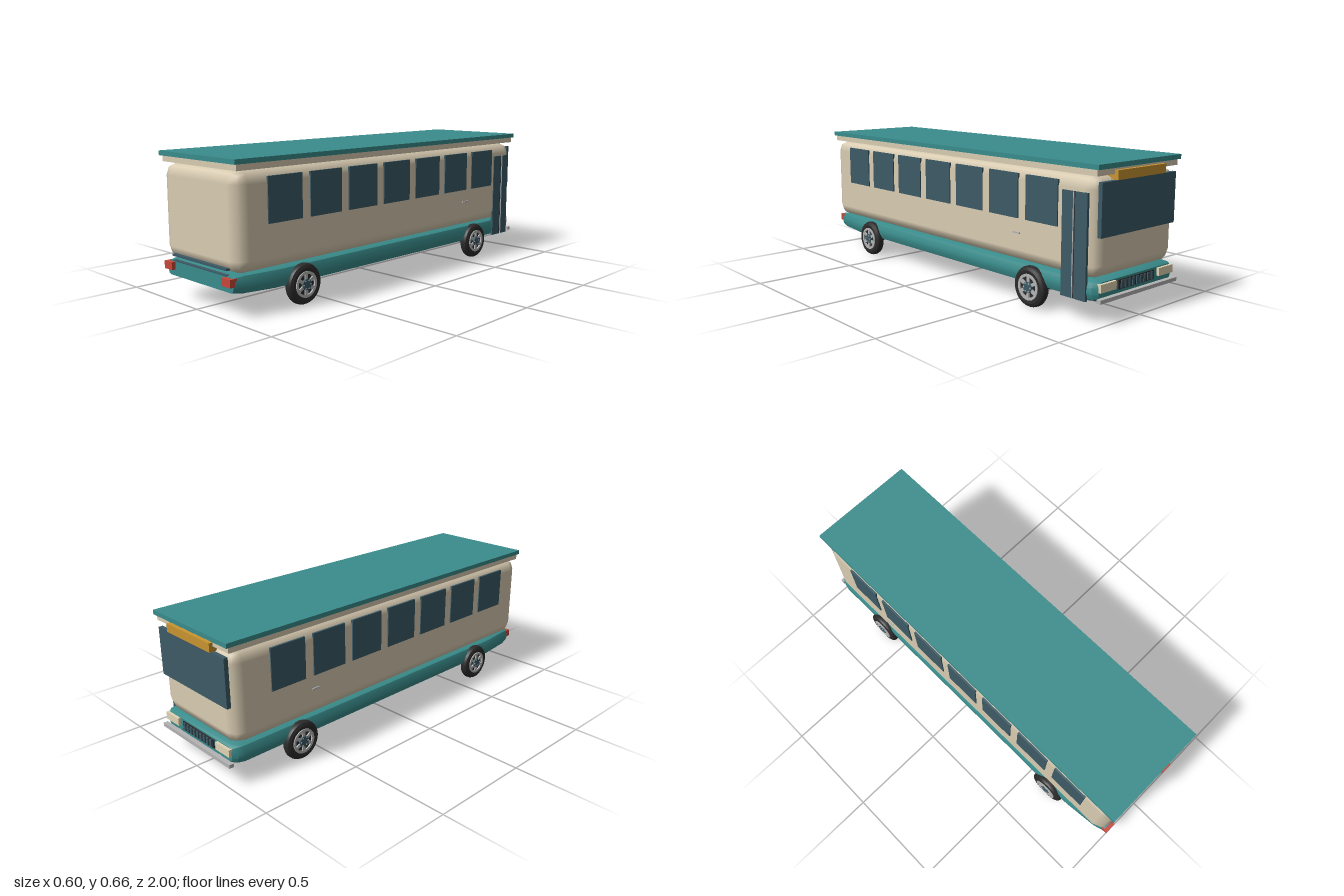
import * as THREE from 'three';
import { toCreasedNormals } from 'three/addons/utils/BufferGeometryUtils.js';
import { RoundedBoxGeometry } from 'three/addons/geometries/RoundedBoxGeometry.js';

const mat = (color) => new THREE.MeshStandardMaterial({ color });
const teal = mat(0x3a8c8c), cream = mat(0xd9ccb2), glass = mat(0x3c5a66), tyreBlack = mat(0x2b2b2b);
const steel = mat(0xb4b4b4), red = mat(0xc8473a), amber = mat(0xc8942f), ivory = mat(0xe0d4b4);

function add(parent, name, geometry, material, x = 0, y = 0, z = 0) {
  const mesh = new THREE.Mesh(geometry, material);
  mesh.name = name;
  mesh.position.set(x, y, z);
  parent.add(mesh);
  return mesh;
}

// Box given by its minimum and maximum on each axis
function box(parent, name, material, x0, x1, y0, y1, z0, z1) {
  return add(parent, name, new THREE.BoxGeometry(x1 - x0, y1 - y0, z1 - z0), material,
    (x0 + x1) / 2, (y0 + y1) / 2, (z0 + z1) / 2);
}

// Lower hull: chamfered cross-sections joined along z, tapering at the tail
function hullGeometry() {
  const sections = [ // z, half width, bottom, top, chamfer
    [-0.975, 0.245, 0.112, 0.18, 0.02],
    [-0.955, 0.264, 0.1, 0.188, 0.03],
    [-0.92, 0.272, 0.095, 0.19, 0.035],
    [0.76, 0.272, 0.095, 0.19, 0.035],
    [0.93, 0.255, 0.102, 0.19, 0.03],
    [0.98, 0.24, 0.112, 0.18, 0.02],
  ];
  const positions = [], index = [], n = 12;
  for (const [z, w, b, t, c] of sections) {
    const k = c * 0.29;
    const right = [[w - c, b], [w - k, b + k], [w, b + c], [w, t - c], [w - k, t - k], [w - c, t]];
    const ring = [...right, ...right.map(([x, y]) => [-x, y]).reverse()];
    ring.forEach(([x, y]) => positions.push(x, y, z));
  }
  for (let s = 0; s < sections.length - 1; s++) {
    for (let i = 0; i < n; i++) {
      const a = s * n + i, b = s * n + (i + 1) % n;
      index.push(a, b, b + n, a, b + n, a + n);
    }
  }
  const last = (sections.length - 1) * n;
  for (let i = 1; i < n - 1; i++) {
    index.push(0, i + 1, i, last, last + i, last + i + 1);
  }
  const g = new THREE.BufferGeometry();
  g.setAttribute('position', new THREE.Float32BufferAttribute(positions, 3));
  g.setIndex(index);
  return toCreasedNormals(g, 0.6);
}

// Wheel with its axle along y, outer face towards +y
function createWheel() {
  const wheel = new THREE.Group();
  const pts = (list) => list.map(([r, y]) => new THREE.Vector2(r, y));
  const tyre = new THREE.LatheGeometry(pts([[0.058, -0.02], [0.074, -0.023], [0.087, -0.017], [0.092, -0.007],
    [0.092, 0.007], [0.087, 0.017], [0.074, 0.023], [0.058, 0.02], [0.058, -0.02]]), 28);
  add(wheel, 'tyre', toCreasedNormals(tyre, 0.6), tyreBlack);
  const rim = new THREE.LatheGeometry(pts([[0.047, -0.025], [0.059, -0.025], [0.059, 0.025],
    [0.047, 0.025], [0.047, -0.025]]), 28);
  add(wheel, 'rim', toCreasedNormals(rim, 0.6), steel);
  add(wheel, 'wheelDisc', new THREE.CylinderGeometry(0.05, 0.05, 0.034, 28), tyreBlack);
  add(wheel, 'hub', new THREE.CylinderGeometry(0.025, 0.025, 0.056, 16), glass);
  for (let i = 0; i < 6; i++) {
    const a = i * Math.PI / 3;
    const spoke = add(wheel, 'spoke', new THREE.BoxGeometry(0.034, 0.048, 0.015), steel,
      Math.cos(a) * 0.036, 0, Math.sin(a) * 0.036);
    spoke.rotation.y = -a;
    add(wheel, 'wheelNut', new THREE.CylinderGeometry(0.004, 0.004, 0.06, 6), steel,
      Math.cos(a + 0.52) * 0.02, 0, Math.sin(a + 0.52) * 0.02);
  }
  return wheel;
}

export function createModel() {
  const bus = new THREE.Group();
  bus.name = 'bus';

  // Shell, hull and roof
  add(bus, 'body', new RoundedBoxGeometry(0.544, 0.435, 1.95, 1, 0.06), cream, 0, 0.3995, 0.005);
  add(bus, 'lowerHull', hullGeometry(), teal);
  box(bus, 'roofBase', cream, -0.268, 0.268, 0.615, 0.642, -0.972, 0.972);
  box(bus, 'roofPanel', teal, -0.275, 0.275, 0.642, 0.663, -0.985, 0.985);

  for (const side of [-1, 1]) {
    // Side windows and a small handle
    for (let i = 0; i < 7; i++) {
      add(bus, 'sideWindow', new THREE.BoxGeometry(0.01, 0.198, 0.187), glass,
        side * 0.272, 0.484, 0.728 - i * 0.2345);
    }
    add(bus, 'sideHandle', new THREE.BoxGeometry(0.01, 0.007, 0.042), steel, side * 0.273, 0.32, -0.53);

    // Wheels and the wells behind them
    for (const z of [0.63, -0.62]) {
      const wheel = createWheel();
      wheel.name = z > 0 ? 'rearWheel' : 'frontWheel';
      wheel.position.set(side * 0.268, 0.094, z);
      wheel.rotation.z = -side * Math.PI / 2;
      bus.add(wheel);
      add(bus, 'wheelWell', new THREE.BoxGeometry(0.055, 0.06, 0.15), tyreBlack, side * 0.242, 0.122, z);
    }

    // Lamps
    add(bus, 'tailLamp', new THREE.BoxGeometry(0.058, 0.035, 0.035), red, side * 0.213, 0.158, 0.9815);
    add(bus, 'headlamp', new THREE.BoxGeometry(0.1, 0.036, 0.03), ivory, side * 0.195, 0.158, -0.973);
  }

  // Folding door with a central bar
  box(bus, 'doorRearLeaf', glass, 0.264, 0.276, 0.098, 0.545, -0.862, -0.797);
  box(bus, 'doorFrontLeaf', glass, 0.264, 0.276, 0.098, 0.545, -0.932, -0.868);
  box(bus, 'doorBar', steel, 0.28, 0.284, 0.1, 0.545, -0.867, -0.863);
  box(bus, 'doorSeal', tyreBlack, 0.262, 0.274, 0.098, 0.545, -0.869, -0.861);

  // Nose
  box(bus, 'windscreen', glass, -0.246, 0.246, 0.365, 0.59, -0.982, -0.962);
  box(bus, 'routeSign', amber, -0.16, 0.16, 0.592, 0.632, -0.99, -0.92);
  box(bus, 'grille', tyreBlack, -0.12, 0.12, 0.13, 0.172, -0.98, -0.96);
  for (let i = 0; i < 9; i++) {
    add(bus, 'grilleSlat', new THREE.BoxGeometry(0.014, 0.036, 0.01), glass, (i - 4) * 0.0255, 0.151, -0.98);
  }
  box(bus, 'frontBumper', steel, -0.26, 0.26, 0.1, 0.117, -1, -0.978);
  for (const x of [-0.16, 0.16]) {
    add(bus, 'bumperBracket', new THREE.BoxGeometry(0.02, 0.012, 0.04), steel, x, 0.11, -0.965);
  }

  // Tail trim
  box(bus, 'rearTrim', glass, -0.198, 0.198, 0.202, 0.211, 0.955, 0.985);
  box(bus, 'rearSeam', glass, -0.198, 0.198, 0.178, 0.183, 0.955, 0.982);

  return bus;
}
